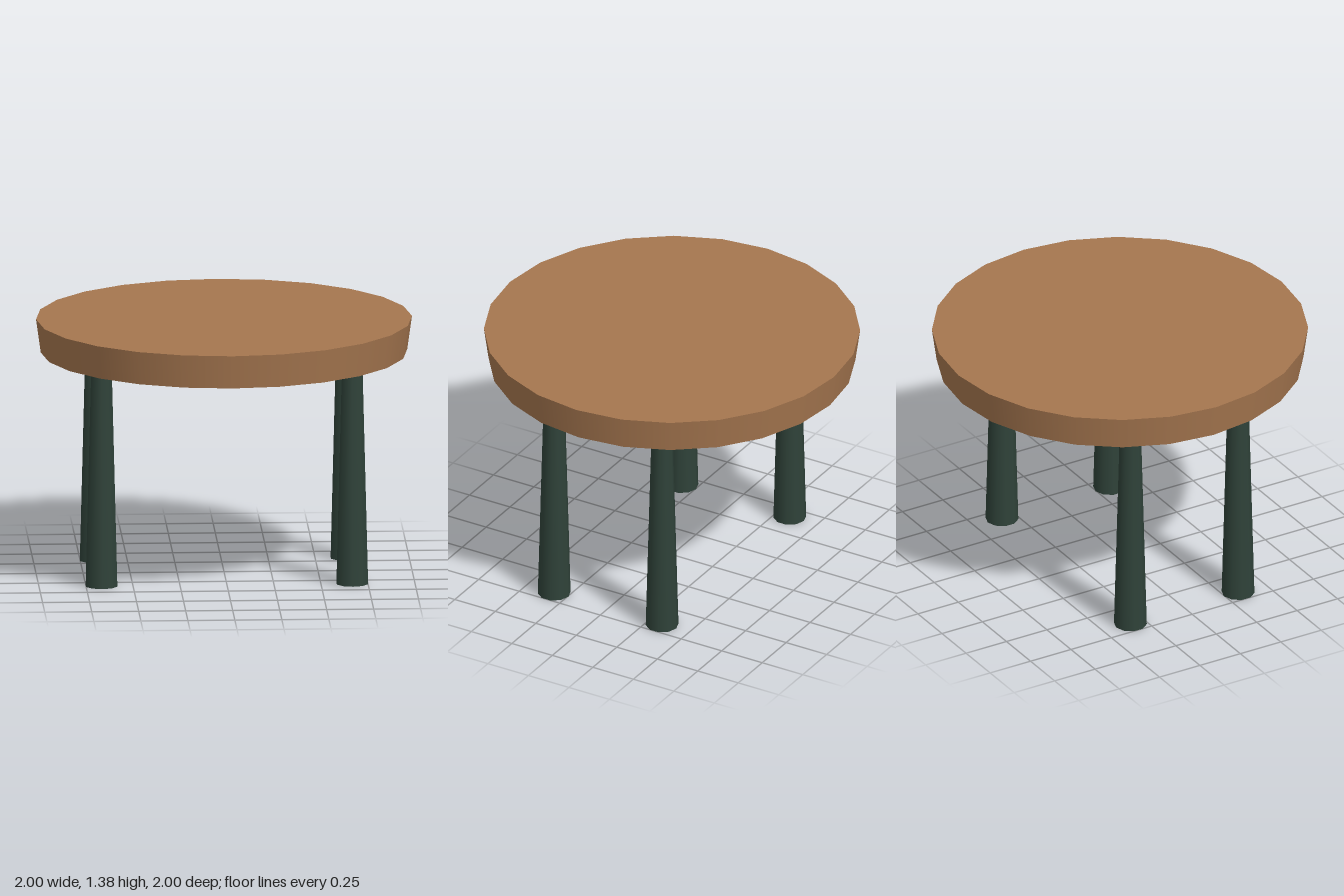
import * as THREE from 'three';

export function createModel() {
  const group = new THREE.Group();
  const wood = new THREE.MeshStandardMaterial({ color: 0xa5764f });
  const paint = new THREE.MeshStandardMaterial({ color: 0x2f4239 });

  // Round top, narrowing slightly towards its underside
  const bottomY = 1.2, thickness = 0.18;
  const top = new THREE.Mesh(new THREE.CylinderGeometry(1, 0.975, thickness, 24), wood);
  top.name = 'tableTop';
  top.position.y = bottomY + thickness / 2;
  group.add(top);

  // Four legs, wider at the foot
  const legGeometry = new THREE.CylinderGeometry(0.056, 0.0875, bottomY, 10);
  for (const [zName, z] of [['front', 0.333], ['back', -0.333]]) {
    for (const [xName, x] of [['Left', 0.667], ['Right', -0.667]]) {
      const leg = new THREE.Mesh(legGeometry, paint);
      leg.name = `${zName}${xName}Leg`;
      leg.position.set(x, bottomY / 2, z);
      group.add(leg);
    }
  }
  return group;
}
